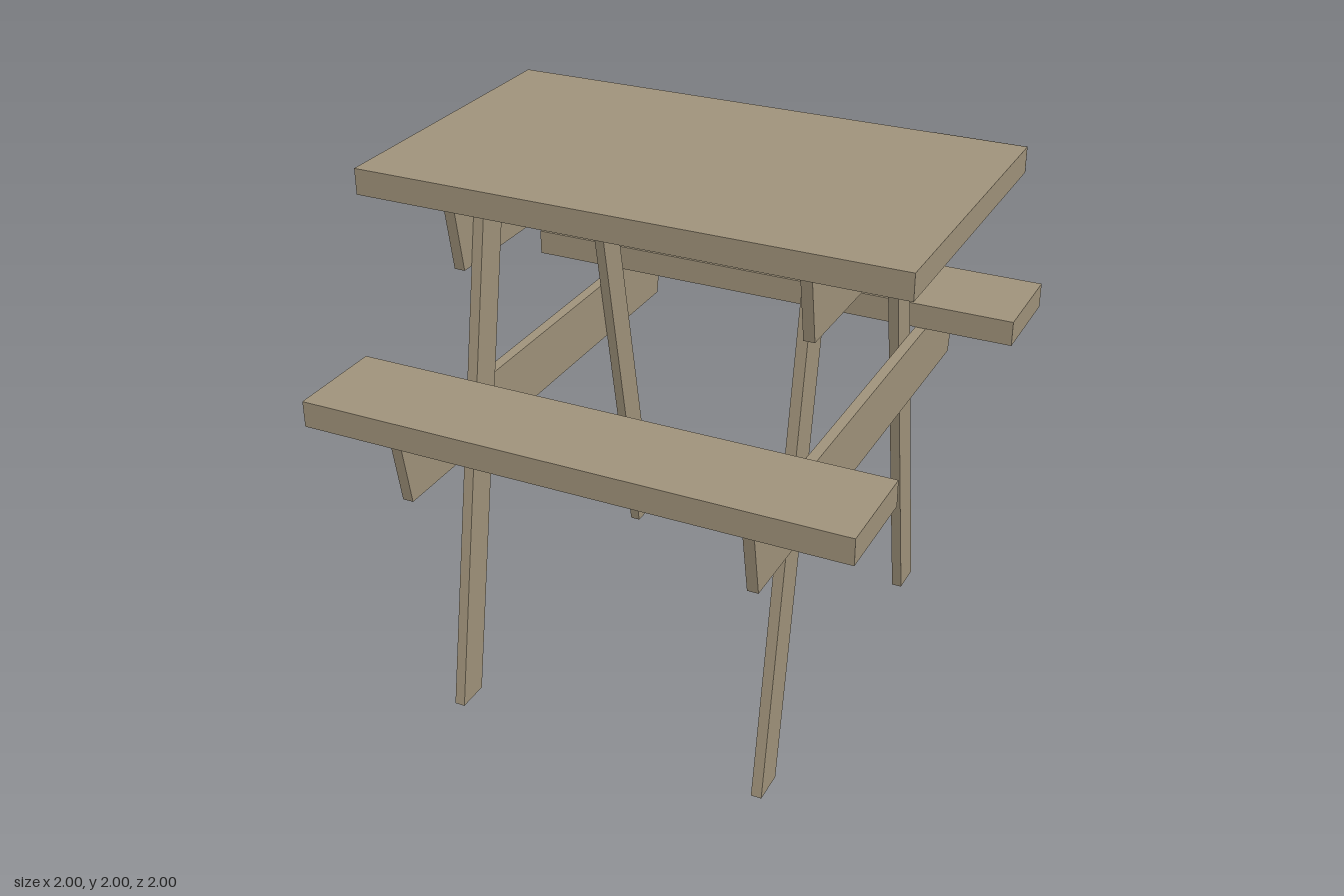
import * as THREE from 'three';

const wood = new THREE.MeshStandardMaterial({ color: 0xa0937b });
wood.name = 'weathered wood';
const dark = new THREE.MeshStandardMaterial({ color: 0x43381f });
dark.name = 'dark brown';

export function createModel() {
  const model = new THREE.Group();
  model.name = 'picnicTable';

  const box = (name, w, h, d, x, y, z, material = wood) => {
    const mesh = new THREE.Mesh(new THREE.BoxGeometry(w, h, d), material);
    mesh.name = name;
    mesh.position.set(x, y, z);
    model.add(mesh);
  };

  // Side profile given as [z, y] points, extruded along x from x0 to x1
  const plank = (name, points, x0, x1) => {
    const shape = new THREE.Shape(points.map(([z, y]) => new THREE.Vector2(-z, y)));
    const geometry = new THREE.ExtrudeGeometry(shape, { depth: x1 - x0, bevelEnabled: false });
    geometry.rotateY(Math.PI / 2).translate(x0, 0, 0);
    const mesh = new THREE.Mesh(geometry, wood);
    mesh.name = name;
    model.add(mesh);
  };

  // Table top with a dark patch on its rear edge
  box('tableTop', 2, 0.095, 1.174, 0, 1.9525, 0);
  box('rearEdgePatch', 0.34, 0.095, 0.004, 0.83, 1.9525, -0.587, dark);

  // Benches
  for (const s of [1, -1]) {
    box(s > 0 ? 'frontBench' : 'rearBench', 2, 0.097, 0.376, 0, 1.2565, s * 0.812);
  }

  for (const side of [1, -1]) {
    const label = side > 0 ? 'left' : 'right';
    const span = (a, b) => (side > 0 ? [a, b] : [-b, -a]);

    // Tapered cross beams on the outside of the legs
    const beam = (name, top, bottom, y0, y1) =>
      plank(name, [[-bottom, y0], [bottom, y0], [top, y1], [-top, y1]], ...span(0.625, 0.665));
    beam(label + 'TopBeam', 0.566, 0.525, 1.668, 1.905);
    beam(label + 'BenchBeam', 0.983, 0.94, 0.972, 1.208);

    // Slanted legs
    for (const s of [1, -1]) {
      plank(label + (s > 0 ? 'FrontLeg' : 'RearLeg'),
        [[s * 0.66, 0], [s * 0.785, 0], [s * 0.437, 1.905], [s * 0.312, 1.905]],
        ...span(0.586, 0.625));
    }
  }
  return model;
}
